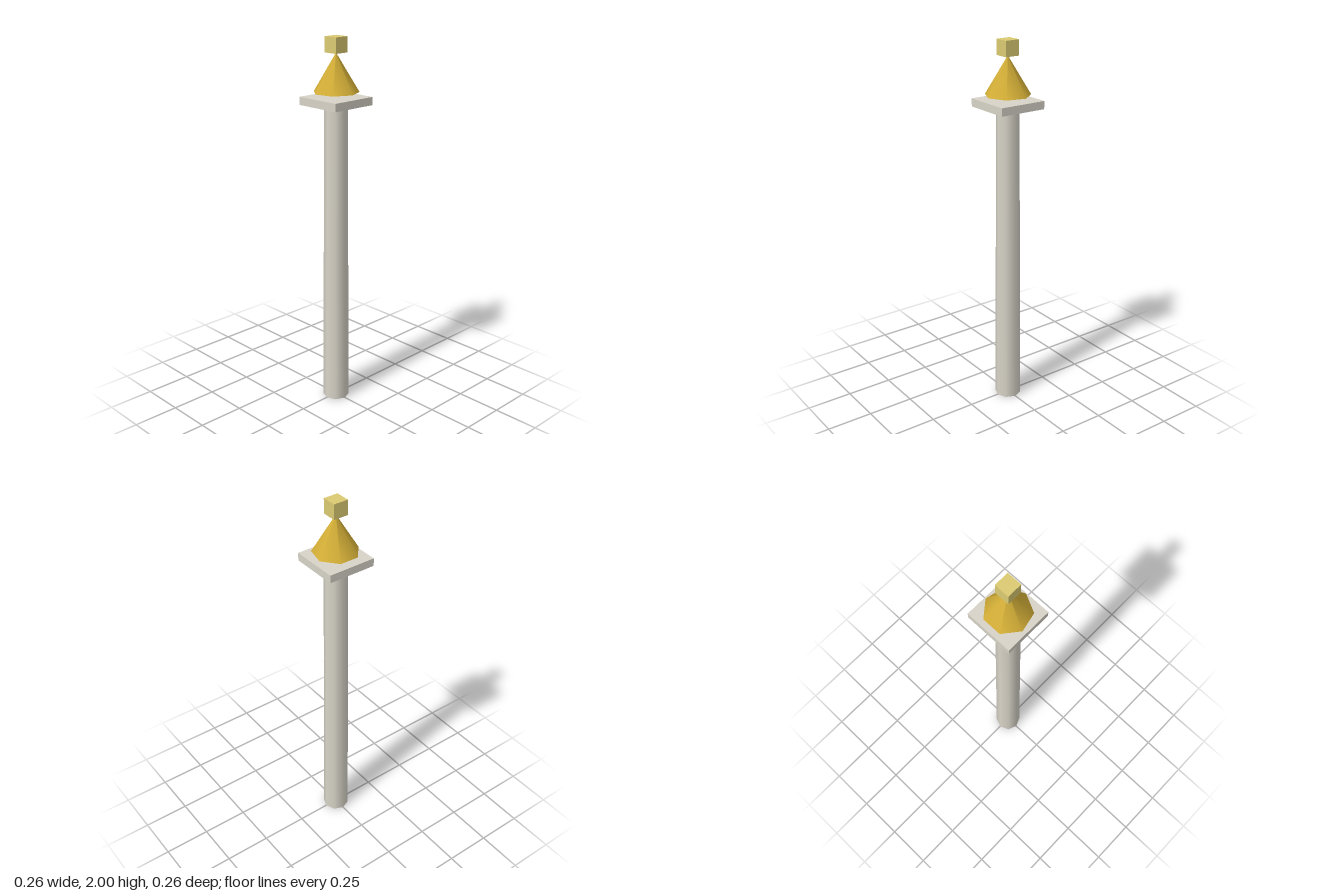
import * as THREE from 'three';

export function createModel() {
  const model = new THREE.Group();
  const material = (name, color) => {
    const m = new THREE.MeshStandardMaterial({ color });
    m.name = name;
    return m;
  };
  const stone = material('pale stone', 0xd8d4c8);
  const gold = material('gold', 0xd4af37);
  const paleGold = material('pale gold', 0xdccb72);

  // Adds a part standing on the given height
  const add = (name, geometry, mat, bottom, height) => {
    const mesh = new THREE.Mesh(geometry, mat);
    mesh.name = name;
    mesh.position.y = bottom + height / 2;
    model.add(mesh);
  };

  // Tapered eight-sided column with smooth sides
  add('shaft', new THREE.CylinderGeometry(0.06, 0.072, 1.655, 8), stone, 0, 1.655);
  // Square slab on the column
  add('capital', new THREE.BoxGeometry(0.262, 0.042, 0.262), stone, 1.655, 0.042);
  // Seven-sided cone floating just above the slab, one corner to the front
  add('spire', new THREE.ConeGeometry(0.12, 0.2, 7), gold, 1.72, 0.2);
  // Cube on the tip
  add('finial', new THREE.BoxGeometry(0.08, 0.08, 0.08), paleGold, 1.92, 0.08);

  return model;
}
